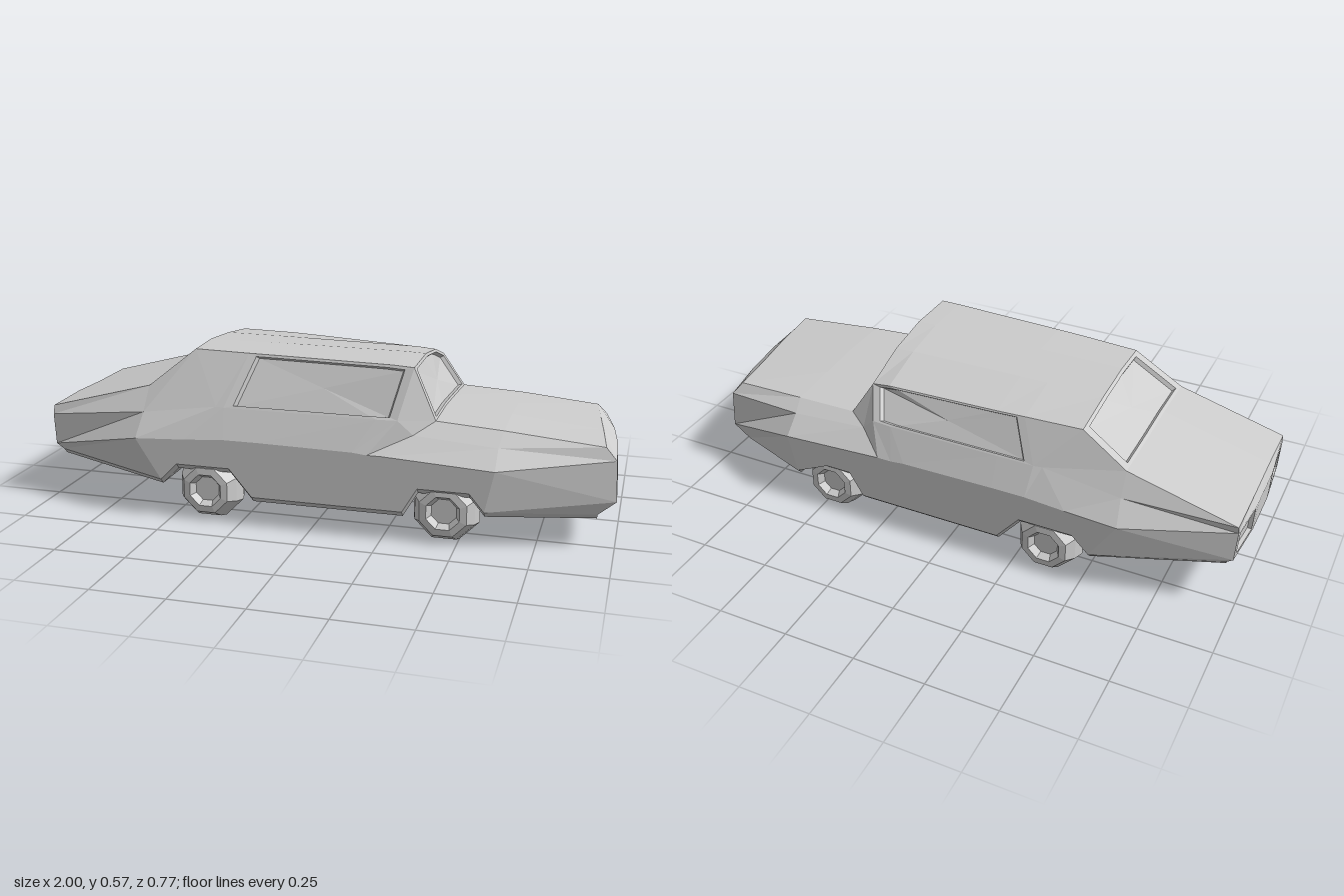
import * as THREE from 'three';

const paint = new THREE.MeshStandardMaterial({ color: 0xcccccc, flatShading: true });
paint.name = 'grey paint';

const V = (x, y, z) => new THREE.Vector3(x, y, z);

// Collects flat faces and turns them into a mesh
class Faces {
  constructor() { this.pos = []; }
  tri(...p) { p.forEach(v => this.pos.push(v.x, v.y, v.z)); }
  quad(a, b, c, d) { this.tri(a, b, c); this.tri(a, c, d); }
  mesh(name) {
    const g = new THREE.BufferGeometry();
    g.setAttribute('position', new THREE.Float32BufferAttribute(this.pos, 3));
    g.computeVertexNormals();
    const m = new THREE.Mesh(g, paint);
    m.name = name;
    return m;
  }
}

// Panel with a border, a lip and a sunken pane; loop runs counter-clockwise seen from outside
function insetPanel(group, name, loop, scale, depth) {
  const centre = V(0, 0, 0), normal = V(0, 0, 0);
  loop.forEach((p, i) => {
    centre.addScaledVector(p, 1 / loop.length);
    normal.add(p.clone().cross(loop[(i + 1) % loop.length]));
  });
  normal.normalize();
  const rim = loop.map(p => centre.clone().lerp(p, scale));
  const sink = p => p.clone().addScaledVector(normal, -depth);
  const deep = rim.map(p => sink(centre.clone().lerp(p, 0.97)));
  const frame = new Faces(), pane = new Faces();
  loop.forEach((p, i) => {
    const k = (i + 1) % loop.length;
    frame.quad(p, loop[k], rim[k], rim[i]);
    frame.quad(rim[i], rim[k], deep[k], deep[i]);
    pane.tri(deep[i], deep[k], sink(centre));
  });
  group.add(frame.mesh(name + 'Frame'), pane.mesh(name));
}

// Body stations from tail to nose:
// top x, left top [y, z], right top [y, z], belt [x, y, z], waist [x, y, z], bottom [x, y], sill z
const stations = [
  [-0.985, [0.34, 0.27], [0.34, -0.29], [-0.985, 0.31, 0.28], [-0.98, 0.2, 0.28], [-0.955, 0.16], 0.275],
  [-0.61, [0.44, 0.27], [0.44, -0.29], [-0.61, 0.36, 0.33], [-0.62, 0.28, 0.385], [-0.53, 0.12], 0.385],
  [-0.45, [0.57, 0.225], [0.54, -0.27], [-0.34, 0.4, 0.335], [-0.44, 0.29, 0.385], [-0.47, 0.18], 0.385],
  [-0.25, [0.57, 0.24], [0.535, -0.275], [-0.31, 0.4, 0.34], [-0.3, 0.3, 0.385], [-0.28, 0.18], 0.385],
  [-0.15, [0.57, 0.245], [0.53, -0.275], [-0.18, 0.4, 0.34], [-0.18, 0.3, 0.385], [-0.2, 0.085], 0.385],
  [0.26, [0.568, 0.265], [0.51, -0.265], [0.22, 0.4, 0.34], [0.15, 0.295, 0.385], [0.32, 0.085], 0.385],
  [0.33, [0.565, 0.27], [0.495, -0.255], [0.29, 0.4, 0.335], [0.2, 0.29, 0.385], [0.37, 0.17], 0.385],
  [0.405, [0.39, 0.27], [0.375, -0.28], [0.34, 0.35, 0.32], [0.25, 0.29, 0.385], [0.54, 0.17], 0.385],
  [0.63, [0.375, 0.27], [0.365, -0.27], [0.62, 0.33, 0.32], [0.62, 0.27, 0.385], [0.59, 0.11], 0.385],
  [0.925, [0.345, 0.265], [0.345, -0.25], [0.96, 0.305, 0.275], [0.967, 0.17, 0.28], [0.91, 0.1], 0.275],
];

function ring([x, [ly, lz], [ry, rz], belt, waist, [bx, by], sz]) {
  const lower = [[bx, by, sz - 0.02], [bx, by + 0.02, sz], waist, belt];
  const points = [
    ...lower.map(p => V(...p)),
    V(x, ly, lz), V(x, ly + 0.005, 0.08), V(x, ly - 0.25 * (ly - ry), -0.09), V(x, ry, rz),
    ...lower.reverse().map(([a, b, c]) => V(a, b, -c)),
  ];
  // The nose is slightly skewed
  if (x > 0.8) points.forEach(p => { p.x += 0.115 * p.z; });
  return points;
}

function buildBody(group) {
  const P = stations.map(ring), last = P.length - 1;
  const windows = [
    ['rearWindow', 1, 2, 4, 7, 0.88], ['windshield', 6, 7, 4, 7, 0.9],
    ['leftSideWindow', 3, 6, 3, 4, 0.9], ['rightSideWindow', 3, 6, 7, 8, 0.9],
  ];
  const body = new Faces();
  for (let i = 0; i < last; i++) {
    for (let j = 0; j < 12; j++) {
      if (windows.some(w => i >= w[1] && i < w[2] && j >= w[3] && j < w[4])) continue;
      const k = (j + 1) % 12;
      body.quad(P[i][j], P[i + 1][j], P[i + 1][k], P[i][k]);
    }
  }

  // Sunken windows fill the openings left in the shell
  for (const [name, i0, i1, j0, j1, scale] of windows) {
    const loop = [];
    for (let i = i0; i < i1; i++) loop.push(P[i][j0]);
    for (let j = j0; j < j1; j++) loop.push(P[i1][j]);
    for (let i = i1; i > i0; i--) loop.push(P[i][j1]);
    for (let j = j1; j > j0; j--) loop.push(P[i0][j]);
    insetPanel(group, name, loop, scale, 0.014);
  }

  // Nose and tail faces, in rows from top to bottom
  for (const front of [true, false]) {
    const R = P[front ? last : 0];
    const rows = [0, 1, 2, 3, 4].map(k => k === 0 ? R.slice(4, 8)
      : [0, 0.35, 0.67, 1].map(t => R[4 - k].clone().lerp(R[7 + k], t)));
    // Slight bow of the middle of each end
    rows.slice(1, 4).forEach(r => r.slice(1, 3).forEach(p => { p.x += front ? 0.015 : -0.015; }));
    for (let k = 0; k < 4; k++) {
      for (let c = 0; c < 3; c++) {
        const loop = [rows[k + 1][c], rows[k + 1][c + 1], rows[k][c + 1], rows[k][c]];
        if (!front) loop.reverse();
        if (k === 1 && (front || c !== 1)) {
          const name = c === 1 ? 'grille' : (c ? 'right' : 'left') + (front ? 'Headlight' : 'TailLight');
          insetPanel(group, name, loop, 0.76, 0.014);
        } else body.quad(...loop);
      }
    }
  }
  group.add(body.mesh('body'));
}

// Eight-sided wheel with bulging tread and sunken hub
function wheelGeometry() {
  const profile = [[0, -0.075], [0.085, -0.075], [0.108, -0.04], [0.12, 0], [0.108, 0.04],
    [0.085, 0.075], [0.06, 0.078], [0.045, 0.055], [0, 0.055]];
  return new THREE.LatheGeometry(profile.map(p => new THREE.Vector2(...p)), 8, Math.PI / 8);
}

export function createModel() {
  const car = new THREE.Group();
  car.name = 'car';
  buildBody(car);

  const geometry = wheelGeometry();
  for (const [end, x] of [['rear', -0.37], ['front', 0.455]]) {
    for (const side of [1, -1]) {
      const wheel = new THREE.Mesh(geometry, paint);
      wheel.name = end + (side > 0 ? 'Left' : 'Right') + 'Wheel';
      wheel.position.set(x, 0.111, side * 0.302);
      wheel.rotation.x = side * Math.PI / 2;
      car.add(wheel);
    }
  }
  return car;
}
